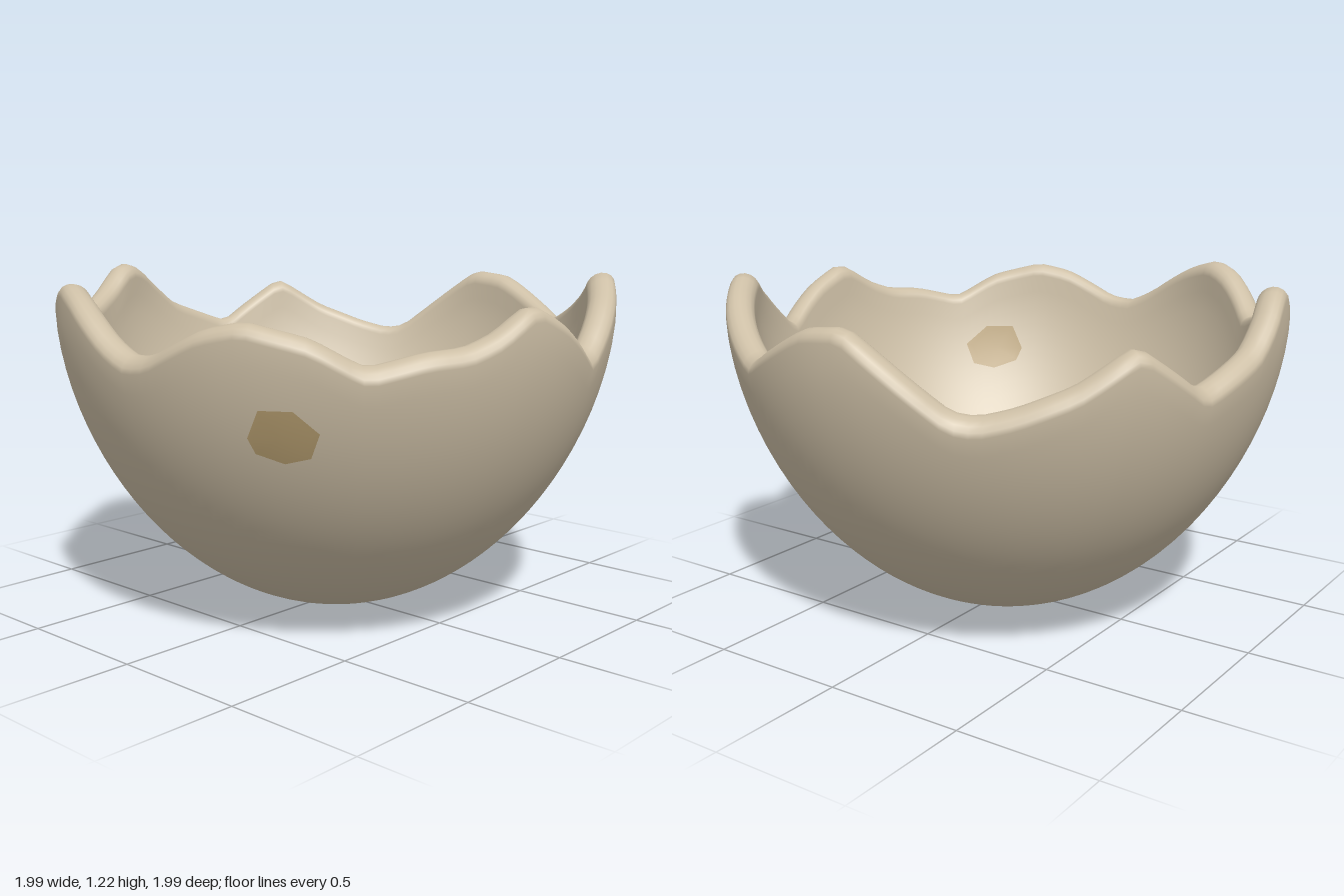
import * as THREE from 'three';

const THICK = 0.1;   // wall thickness
const LIP = 0.045;   // height of the rounded broken edge
const COLS = 144, ROWS = 28, ARC = 8;

// Broken edge: angle in degrees (from +z towards +x), height
const EDGE = [
  [0, 0.99], [6, 1.0], [12, 1.05], [18, 1.1], [26, 1.13], [38, 1.08], [48, 0.985],
  [59, 1.03], [67, 1.04], [73, 1.08], [81, 1.17], [90, 1.1], [103, 0.96], [107, 1.02],
  [115, 1.13], [125, 1.235], [134, 1.18], [146, 1.07], [155, 1.0], [165, 1.08],
  [175, 1.165], [184, 1.18], [192, 1.08], [204, 0.92], [209, 0.91], [216, 0.94],
  [227, 1.01], [238, 1.13], [254, 0.95], [270, 1.05], [281, 1.21], [286, 1.235],
  [294, 1.13], [300, 1.09], [310, 1.05], [315, 1.02], [328, 1.18], [334, 1.21],
  [342, 1.17], [348, 1.11], [354, 1.04], [360, 0.99],
];

function edgeHeight(deg) {
  const a = ((deg % 360) + 360) % 360;
  const k = EDGE.findIndex((p) => p[0] > a);
  const [a0, h0] = EDGE[k - 1], [a1, h1] = EDGE[k];
  return h0 + ((h1 - h0) * (a - a0)) / (a1 - a0);
}

// Egg profile: radius and outward normal at a height on the outer wall
function profile(y) {
  const q = 1 - y / 1.1;
  const r = Math.sqrt(Math.max(0, 1 - Math.abs(q) ** 1.75));
  if (r < 1e-4) return { r: 0, nr: 0, ny: -1 };
  const slope = (0.875 * Math.sign(q) * Math.abs(q) ** 0.75) / (1.1 * r);
  const len = Math.hypot(1, slope);
  return { r, nr: 1 / len, ny: -slope / len };
}

// Point on the wall, moved inwards by depth
function wallPoint(y, depth) {
  const p = profile(y);
  return [Math.max(0, p.r - depth * p.nr), y - depth * p.ny];
}

// Cross-section from the outer base, over the lip, to the inner base
function section(h) {
  const top = h - LIP, pts = [];
  for (let j = 0; j <= ROWS; j++) pts.push(wallPoint(top * (j / ROWS) ** 2, 0));
  for (let k = 1; k < ARC; k++) {
    const a = (Math.PI * k) / ARC;
    const [r, y] = wallPoint(top, (THICK / 2) * (1 - Math.cos(a)));
    pts.push([r, y + LIP * Math.sin(a)]);
  }
  for (let j = ROWS; j >= 0; j--) pts.push(wallPoint(top * (j / ROWS) ** 2, THICK));
  return pts;
}

function buildGeometry(pos, idx) {
  const g = new THREE.BufferGeometry();
  g.setAttribute('position', new THREE.Float32BufferAttribute(pos, 3));
  g.setIndex(idx);
  g.computeVertexNormals();
  return g;
}

function shellGeometry() {
  const pos = [], idx = [];
  let n = 0;
  for (let i = 0; i < COLS; i++) {
    const deg = (i * 360) / COLS, t = THREE.MathUtils.degToRad(deg);
    const h = (edgeHeight(deg - 1.5) + 2 * edgeHeight(deg) + edgeHeight(deg + 1.5)) / 4;
    const pts = section(h);
    n = pts.length;
    for (const [r, y] of pts) pos.push(r * Math.sin(t), y, r * Math.cos(t));
  }
  for (let i = 0; i < COLS; i++) {
    const a = i * n, b = ((i + 1) % COLS) * n;
    for (let j = 0; j < n - 1; j++) {
      if (j > 0) idx.push(a + j, b + j, b + j + 1);
      if (j < n - 2) idx.push(a + j, b + j + 1, a + j + 1);
    }
  }
  const g = buildGeometry(pos, idx);
  // Smooth shading at both poles
  for (let i = 0; i < COLS; i++) {
    g.attributes.normal.setXYZ(i * n, 0, -1, 0);
    g.attributes.normal.setXYZ(i * n + n - 1, 0, 1, 0);
  }
  return g;
}

// Wall radius at a given height, on the outside or the inside
function radiusAt(y, inside) {
  if (!inside) return profile(y).r + 0.005;
  let y0 = y;
  for (let k = 0; k < 20; k++) y0 = y + THICK * profile(y0).ny;
  return wallPoint(y0, THICK)[0] - 0.005;
}

// Speckle: a polygon in x and y laid onto the front wall
function speckleGeometry(outline, inside) {
  const m = outline.length, RINGS = 6, pos = [], idx = [];
  const cx = outline.reduce((s, p) => s + p[0], 0) / m;
  const cy = outline.reduce((s, p) => s + p[1], 0) / m;
  const add = (x, y) => {
    const r = radiusAt(y, inside);
    pos.push(x, y, Math.sqrt(r * r - x * x));
  };
  const tri = (a, b, c) => (inside ? idx.push(a, c, b) : idx.push(a, b, c));
  add(cx, cy);
  for (let k = 1; k <= RINGS; k++)
    for (const [x, y] of outline) add(cx + ((x - cx) * k) / RINGS, cy + ((y - cy) * k) / RINGS);
  for (let i = 0; i < m; i++) {
    const i1 = (i + 1) % m;
    tri(0, 1 + i, 1 + i1);
    for (let k = 0; k < RINGS - 1; k++) {
      const a = 1 + k * m, b = a + m;
      tri(a + i, b + i, b + i1);
      tri(a + i, b + i1, a + i1);
    }
  }
  return buildGeometry(pos, idx);
}

// Outlines run anticlockwise seen from the front
const SPECKLES = {
  leftSpeckle: [[0.42, 0.78], [0.43, 0.73], [0.5, 0.7], [0.57, 0.72], [0.61, 0.8], [0.56, 0.87], [0.47, 0.87]],
  rightSpeckle: [[-0.65, 0.61], [-0.64, 0.57], [-0.6, 0.53], [-0.51, 0.52], [-0.46, 0.57], [-0.45, 0.62], [-0.55, 0.68], [-0.6, 0.68]],
};

export function createModel() {
  const shellMat = new THREE.MeshStandardMaterial({ color: 0xcdbfa6 });
  shellMat.name = 'eggshell beige';
  const speckleMat = new THREE.MeshStandardMaterial({ color: 0xb39b6e });
  speckleMat.name = 'speckle brown';

  const group = new THREE.Group();
  group.name = 'brokenEggshell';
  const add = (name, geometry, material) => {
    const mesh = new THREE.Mesh(geometry, material);
    mesh.name = name;
    group.add(mesh);
  };

  add('shell', shellGeometry(), shellMat);
  for (const [name, outline] of Object.entries(SPECKLES)) {
    add(name + 'Outside', speckleGeometry(outline, false), speckleMat);
    add(name + 'Inside', speckleGeometry(outline, true), speckleMat);
  }
  return group;
}
